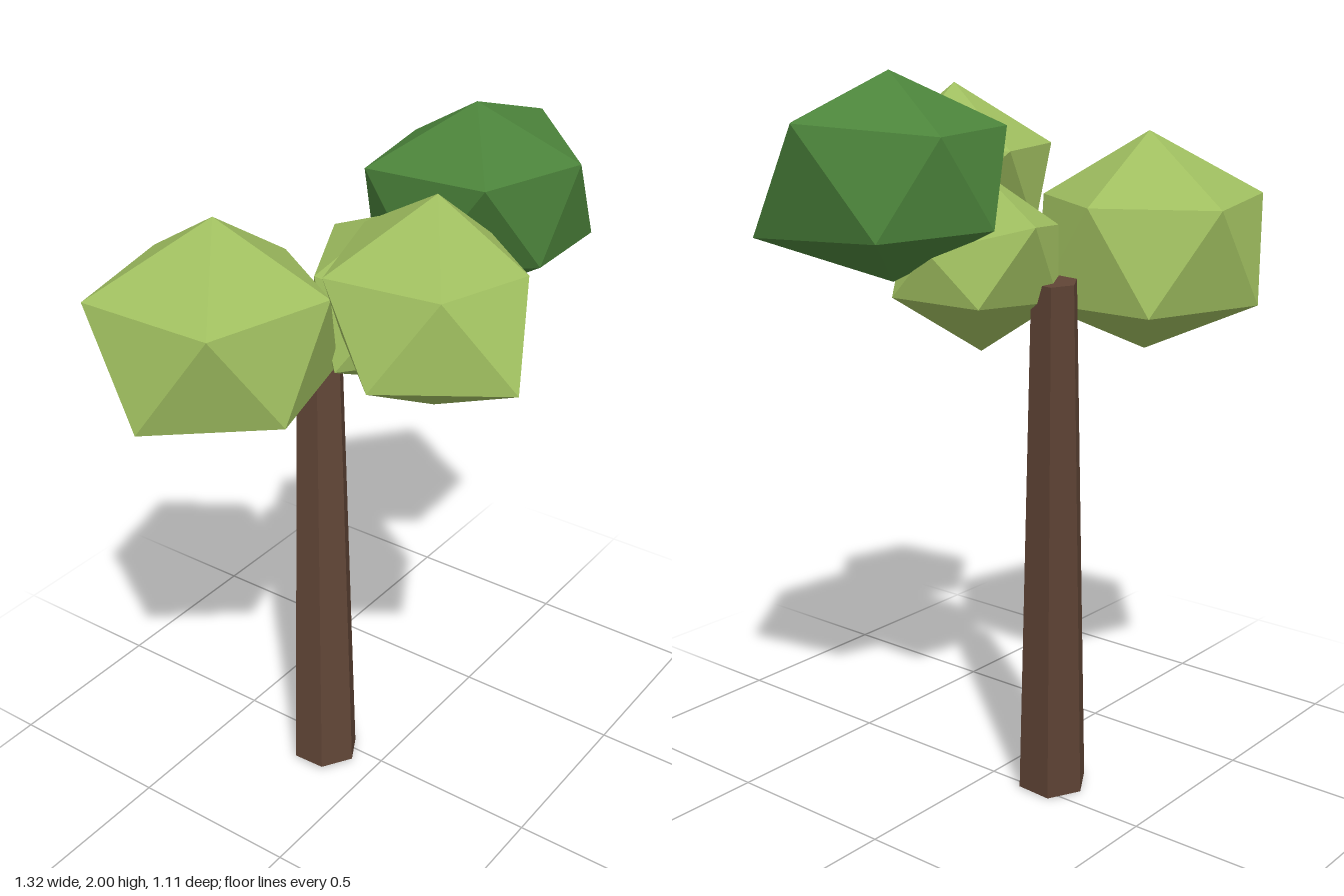
import * as THREE from 'three';

const bark = new THREE.MeshStandardMaterial({ color: 0x5f4435, flatShading: true, name: 'bark' });
const lightLeaf = new THREE.MeshStandardMaterial({ color: 0xa0bf60, flatShading: true, name: 'lightLeaf' });
const darkLeaf = new THREE.MeshStandardMaterial({ color: 0x4c843b, flatShading: true, name: 'darkLeaf' });

// Irregular 20-sided foliage clump: two poles and two staggered rings of five,
// each ring running counter-clockwise as seen from above.
function clump(name, material, { top, upper, lower, bottom }) {
  const pos = [];
  for (let k = 0; k < 5; k++) {
    const n = (k + 1) % 5;
    pos.push(
      ...top, ...upper[k], ...upper[n],
      ...upper[k], ...lower[k], ...upper[n],
      ...lower[k], ...lower[n], ...upper[n],
      ...bottom, ...lower[n], ...lower[k]
    );
  }
  const geo = new THREE.BufferGeometry();
  geo.setAttribute('position', new THREE.Float32BufferAttribute(pos, 3));
  geo.computeVertexNormals();
  const mesh = new THREE.Mesh(geo, material);
  mesh.name = name;
  return mesh;
}

export function createModel() {
  const tree = new THREE.Group();
  tree.name = 'tree';

  // Leaning six-sided trunk
  const base = new THREE.Vector3(-0.056, 0.012, -0.17);
  const tip = new THREE.Vector3(0.05, 1.475, -0.24);
  const axis = tip.clone().sub(base);
  const trunk = new THREE.Mesh(new THREE.CylinderGeometry(0.063, 0.1, axis.length(), 6), bark);
  trunk.name = 'trunk';
  trunk.position.copy(base).add(tip).multiplyScalar(0.5);
  trunk.quaternion.setFromUnitVectors(new THREE.Vector3(0, 1, 0), axis.normalize());
  tree.add(trunk);

  // Foliage clumps
  tree.add(clump('backRightFoliage', lightLeaf, {
    top: [-0.335, 1.83, -0.26],
    upper: [[-0.06, 1.65, -0.26], [-0.235, 1.65, -0.555], [-0.605, 1.655, -0.455], [-0.59, 1.65, -0.075], [-0.24, 1.65, 0.02]],
    lower: [[-0.085, 1.38, -0.44], [-0.43, 1.38, -0.555], [-0.66, 1.375, -0.26], [-0.43, 1.38, 0.02], [-0.085, 1.38, -0.08]],
    bottom: [-0.335, 1.24, -0.26],
  }));
  tree.add(clump('frontFoliage', lightLeaf, {
    top: [-0.145, 1.945, 0.26],
    upper: [[0.09, 1.77, 0.265], [-0.05, 1.78, 0.015 - 0.03], [-0.37, 1.775, 0.095], [-0.33, 1.775, 0.395], [-0.075, 1.77, 0.47]],
    lower: [[0.085, 1.62, 0.12], [-0.22, 1.555, 0.035], [-0.43, 1.55, 0.26], [-0.235, 1.548, 0.55], [0.042, 1.575, 0.395]],
    bottom: [-0.145, 1.397, 0.26],
  }));
  tree.add(clump('middleFoliage', lightLeaf, {
    top: [0.1, 1.745, -0.04],
    upper: [[0.31, 1.56, -0.04], [0.185, 1.63, -0.285], [-0.065, 1.6, -0.165], [-0.08, 1.59, 0.09], [0.165, 1.58, 0.165]],
    lower: [[0.29, 1.43, -0.19], [0.03, 1.42, -0.24], [-0.15, 1.395, -0.04], [0.03, 1.42, 0.165], [0.3, 1.43, 0.09]],
    bottom: [0.1, 1.275, -0.04],
  }));
  tree.add(clump('darkFoliage', darkLeaf, {
    top: [0.32, 2.0, 0.07],
    upper: [[0.655, 1.89, 0.07], [0.4, 1.855, -0.17], [0.075, 1.86, -0.105], [0.045, 1.89, 0.27], [0.4, 1.865, 0.335]],
    lower: [[0.54, 1.61, -0.085], [0.24, 1.62, -0.2], [0.06, 1.62, 0.07], [0.235, 1.64, 0.325], [0.598, 1.6, 0.275]],
    bottom: [0.315, 1.475, 0.07],
  }));

  return tree;
}
